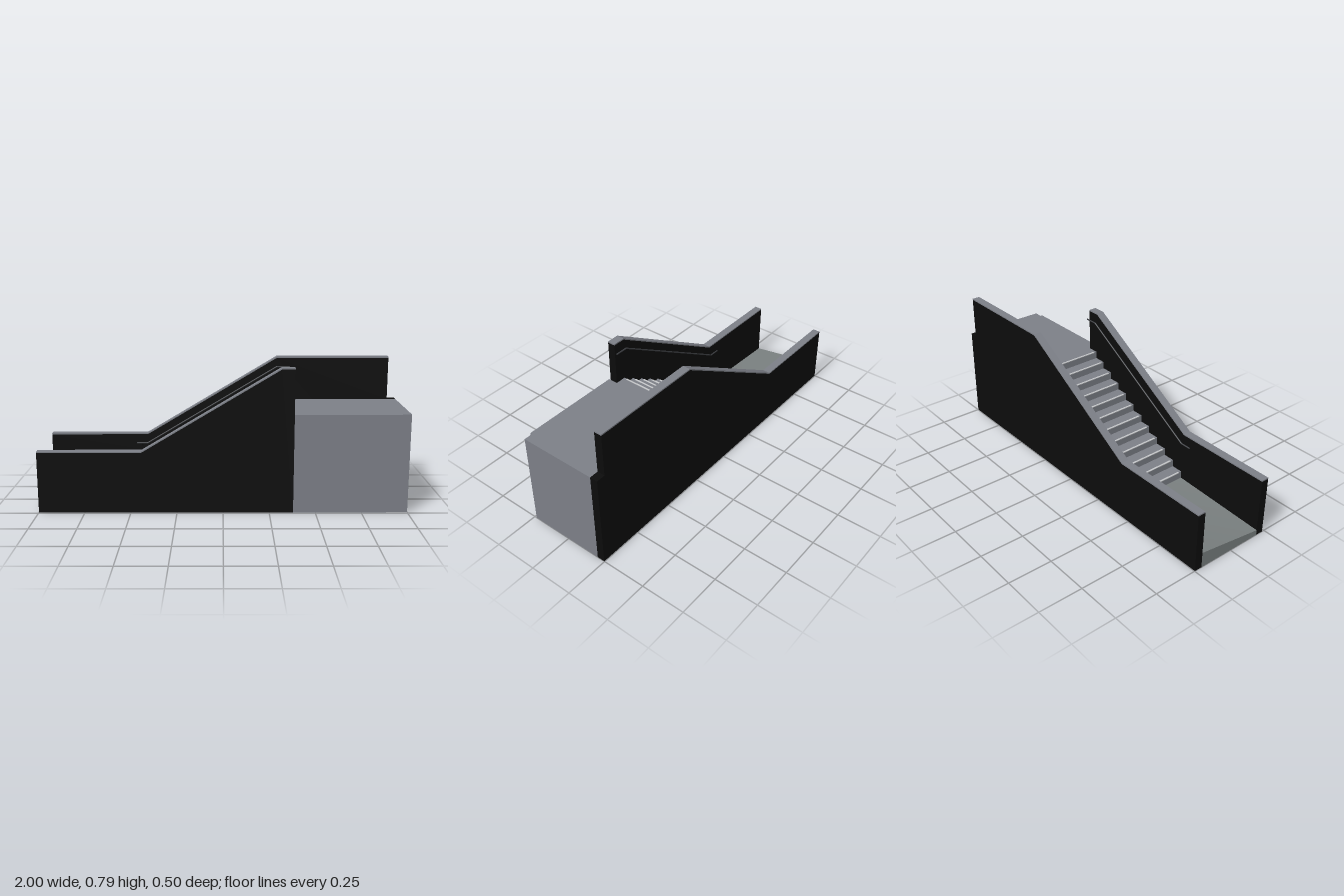
import * as THREE from 'three';

const mat = (name, color) => {
  const m = new THREE.MeshStandardMaterial({ color });
  m.name = name;
  return m;
};

export function createModel() {
  const black = mat('black wall', 0x0c0c0c);
  const concrete = mat('concrete grey', 0x7c7f87);
  const paving = mat('paving grey', 0x797f7f);
  const strip = mat('light nosing', 0xc4c6c8);
  const steel = mat('dark steel', 0x3a3c40);
  const model = new THREE.Group();
  model.name = 'stairway';

  const add = (name, geometry, material, parent = model) => {
    const mesh = new THREE.Mesh(geometry, material);
    mesh.name = name;
    parent.add(mesh);
    return mesh;
  };
  // Side profile in x/y, extruded from z0 to z1
  const slab = (points, z0, z1) => {
    const shape = new THREE.Shape(points.map(([x, y]) => new THREE.Vector2(x, y)));
    return new THREE.ExtrudeGeometry(shape, { depth: z1 - z0, bevelEnabled: false }).translate(0, 0, z0);
  };
  const block = (x0, x1, y0, y1, z0, z1) =>
    new THREE.BoxGeometry(x1 - x0, y1 - y0, z1 - z0)
      .translate((x0 + x1) / 2, (y0 + y1) / 2, (z0 + z1) / 2);

  const deckY = 0.543, backIn = -0.204, frontIn = 0.192, frontOut = 0.236;
  const capT = 0.007;

  // Parapet walls with a thin coping following the top edge
  const wall = (name, topEnd, foot, z0, z1) => {
    const top = [[-1, 0.34], [-0.44, 0.34], [0.31, 0.79], [topEnd, 0.79]];
    const under = top.map(([x, y]) => [x, y - capT]);
    add(name + 'Wall', slab([[-1, 0], ...under, ...foot], z0, z1), black);
    add(name + 'Coping', slab([...top, ...under.slice().reverse()], z0, z1), concrete);
  };
  wall('front', 0.38, [[0.38, 0]], frontIn, frontOut);
  wall('back', 0.95, [[0.95, deckY], [1, deckY], [1, 0]], -0.248, backIn);

  // Upper landing and its projecting edge beam
  add('landing', block(0.38, 1, 0, deckY, backIn, frontOut), concrete);
  add('landingBeam', block(0.38, 0.95, 0.478, deckY, frontOut, 0.248), concrete);

  // Stair flight as one stepped solid
  const steps = 12, run = 0.0685, rise = 0.041, x0 = -0.435;
  const floorY = deckY - steps * rise;
  const profile = [[x0, 0]];
  for (let i = 0; i < steps; i++) {
    const x = x0 + i * run, y = floorY + (i + 1) * rise;
    profile.push([x, y], [i === steps - 1 ? 0.38 : x + run, y]);
  }
  profile.push([0.38, 0]);
  add('stairs', slab(profile, backIn, frontIn), concrete);

  // Light strips on the step edges
  const nosings = new THREE.Group();
  nosings.name = 'stepNosings';
  model.add(nosings);
  for (let i = 0; i < steps; i++) {
    const x = x0 + i * run, y = floorY + (i + 1) * rise;
    add('nosing', block(x - 0.001, x + 0.009, y - 0.003, y + 0.001, -0.185, 0.175), strip, nosings);
  }

  // Lower floor, twisted at its open end to meet a sloping street
  const floor = block(-1, x0, 0, floorY, backIn, frontIn);
  const p = floor.attributes.position;
  for (let i = 0; i < p.count; i++) {
    if (p.getY(i) > 0.01 && p.getX(i) < -0.9) p.setY(i, p.getZ(i) < 0 ? 0.09 : 0.03);
  }
  floor.computeVertexNormals();
  add('lowerFloor', floor, paving);

  // Handrails with slanted wall brackets
  const railY = (x) => 0.285 + 0.6 * (THREE.MathUtils.clamp(x, -0.44, 0.31) + 0.44);
  const tube = (a, b, r) =>
    new THREE.TubeGeometry(new THREE.LineCurve3(new THREE.Vector3(...a), new THREE.Vector3(...b)), 1, r, 8);
  const rail = (name, z, wallZ) => {
    const group = new THREE.Group();
    group.name = name;
    model.add(group);
    const xs = [-0.5, -0.44, 0.31, 0.38];
    for (let i = 0; i < 3; i++) {
      add('railBar', tube([xs[i], railY(xs[i]), z], [xs[i + 1], railY(xs[i + 1]), z], 0.004), steel, group);
    }
    for (const x of xs) {
      add('railJoint', new THREE.SphereGeometry(0.004, 8, 6).translate(x, railY(x), z), steel, group);
    }
    for (const x of [-0.47, -0.25, 0.125, 0.345]) {
      add('bracket', tube([x, railY(x), z], [x, railY(x) - 0.018, wallZ], 0.002), black, group);
    }
  };
  rail('frontHandrail', 0.177, frontIn);
  rail('backHandrail', -0.188, backIn);

  return model;
}
